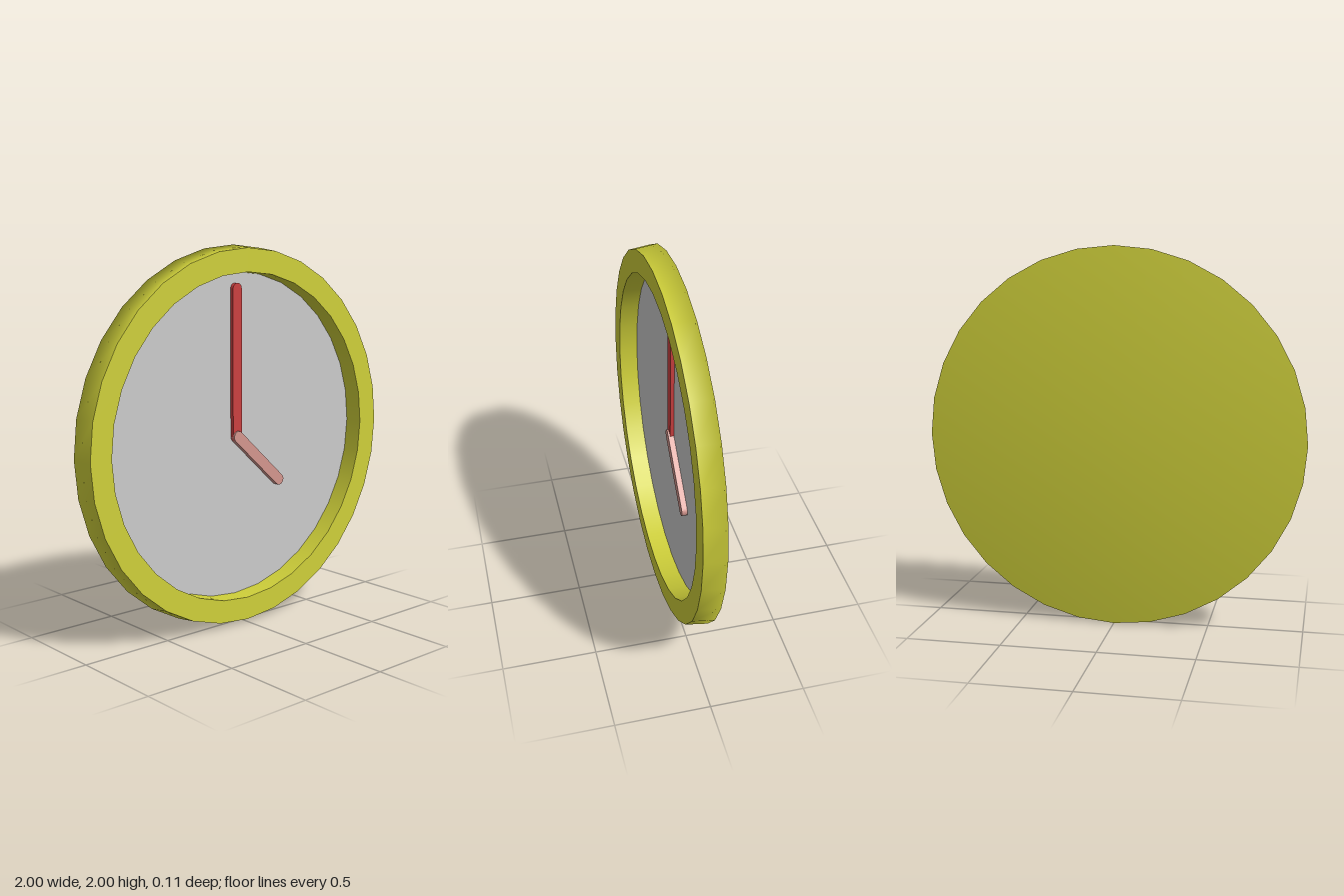
import * as THREE from 'three';

const SIDES = 32;
const BACK = -0.058, FRONT = 0.057, FACE = -0.045;
const OUTER = 1, LIP = 0.985, INNER = 0.863;

const mat = (color) => new THREE.MeshStandardMaterial({ color });

// Surface of revolution about the z axis from [radius, z] pairs
function turned(name, profile, material) {
  const points = profile.map(([r, z]) => new THREE.Vector2(r, z));
  const mesh = new THREE.Mesh(new THREE.LatheGeometry(points, SIDES).rotateX(Math.PI / 2), material);
  mesh.name = name;
  return mesh;
}

// Round-ended bar that starts at the pivot and points up before it is turned
function hand(name, length, z, depth, angle, color) {
  const r = 0.03;
  const shape = new THREE.Shape();
  shape.absarc(0, length, r, 0, Math.PI);
  shape.absarc(0, 0, r, Math.PI, Math.PI * 2);
  shape.closePath();
  const geometry = new THREE.ExtrudeGeometry(shape, { depth, bevelEnabled: false, curveSegments: 6 });
  const mesh = new THREE.Mesh(geometry, mat(color));
  mesh.name = name;
  mesh.position.z = z;
  mesh.rotation.z = angle;
  return mesh;
}

export function createModel() {
  const clock = new THREE.Group();
  clock.name = 'wallClock';
  const dial = new THREE.Group();
  dial.name = 'clockBody';
  dial.position.y = 1;
  clock.add(dial);

  // Case: back and tapered side shade as one soft surface, the rim stays crisp
  const yellow = mat(0xcfd03a);
  dial.add(
    turned('caseShell', [[0, BACK], [OUTER, BACK], [LIP, FRONT]], yellow),
    turned('frontRim', [[LIP, FRONT], [INNER, FRONT]], yellow),
    turned('innerWall', [[INNER, FRONT], [INNER, FACE]], yellow),
  );

  // Recessed face
  const face = new THREE.Mesh(new THREE.CircleGeometry(INNER, SIDES), mat(0xcccccc));
  face.name = 'clockFace';
  face.position.z = FACE;
  dial.add(face);

  // Hands, showing four o'clock
  dial.add(
    hand('minuteHand', 0.775, FACE, 0.02, 0, 0xcc4040),
    hand('hourHand', 0.402, FACE, 0.03, -2.31, 0xd4968e),
  );
  return clock;
}
